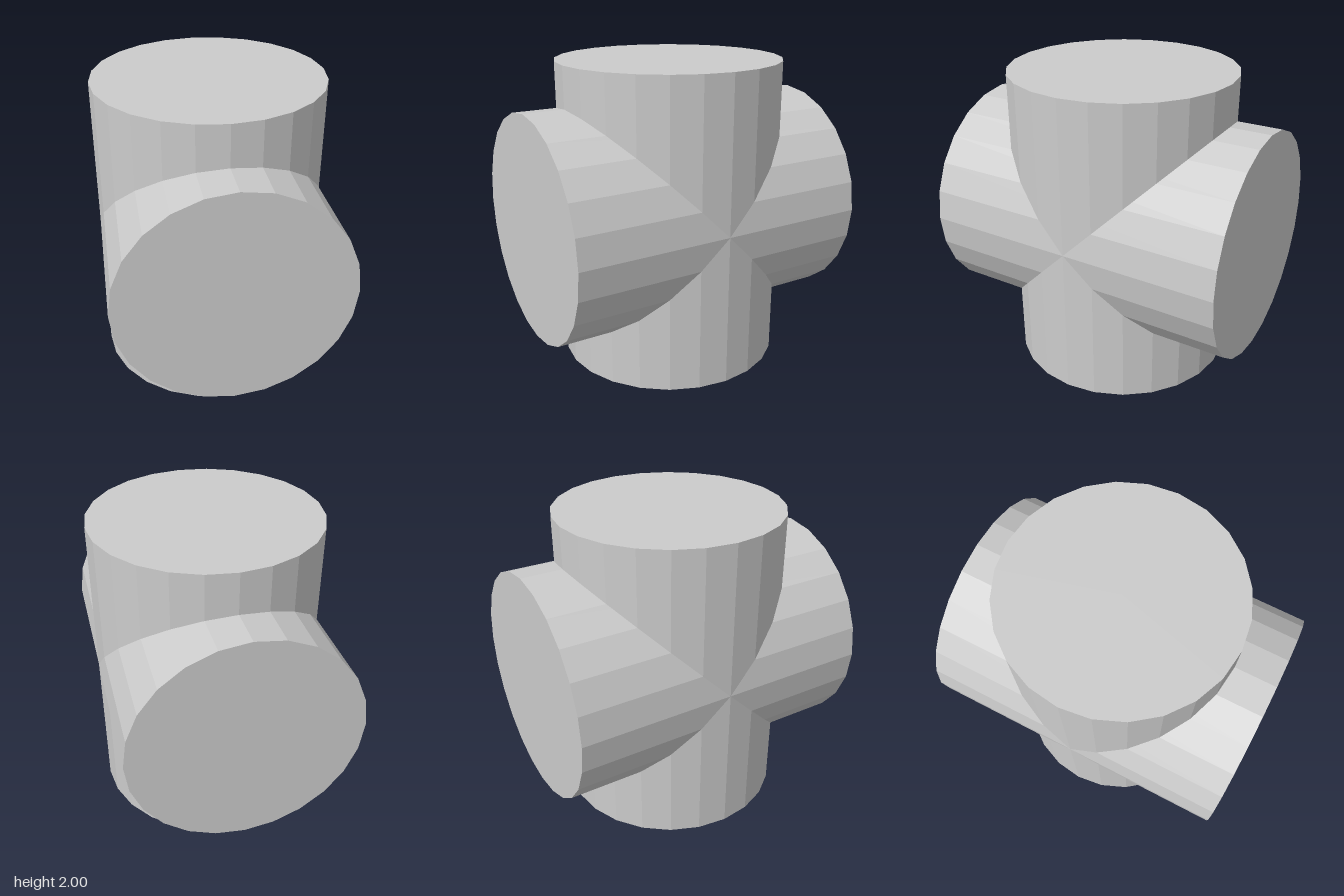
import * as THREE from 'three';

const RADIUS = 0.735;
const LENGTH = 2;
const SIDES = 24;

export function createModel() {
  const group = new THREE.Group();
  group.name = 'crossedCylinders';
  const material = new THREE.MeshStandardMaterial({ color: 0xcccccc, flatShading: true });
  const geometry = new THREE.CylinderGeometry(RADIUS, RADIUS, LENGTH, SIDES);

  // Two equal faceted cylinders crossing at right angles at mid height
  const addCylinder = (name, tilt) => {
    const mesh = new THREE.Mesh(geometry, material);
    mesh.name = name;
    mesh.rotation.x = tilt;
    mesh.position.y = LENGTH / 2;
    group.add(mesh);
  };
  addCylinder('uprightCylinder', 0);
  addCylinder('frontToBackCylinder', Math.PI / 2);

  return group;
}
